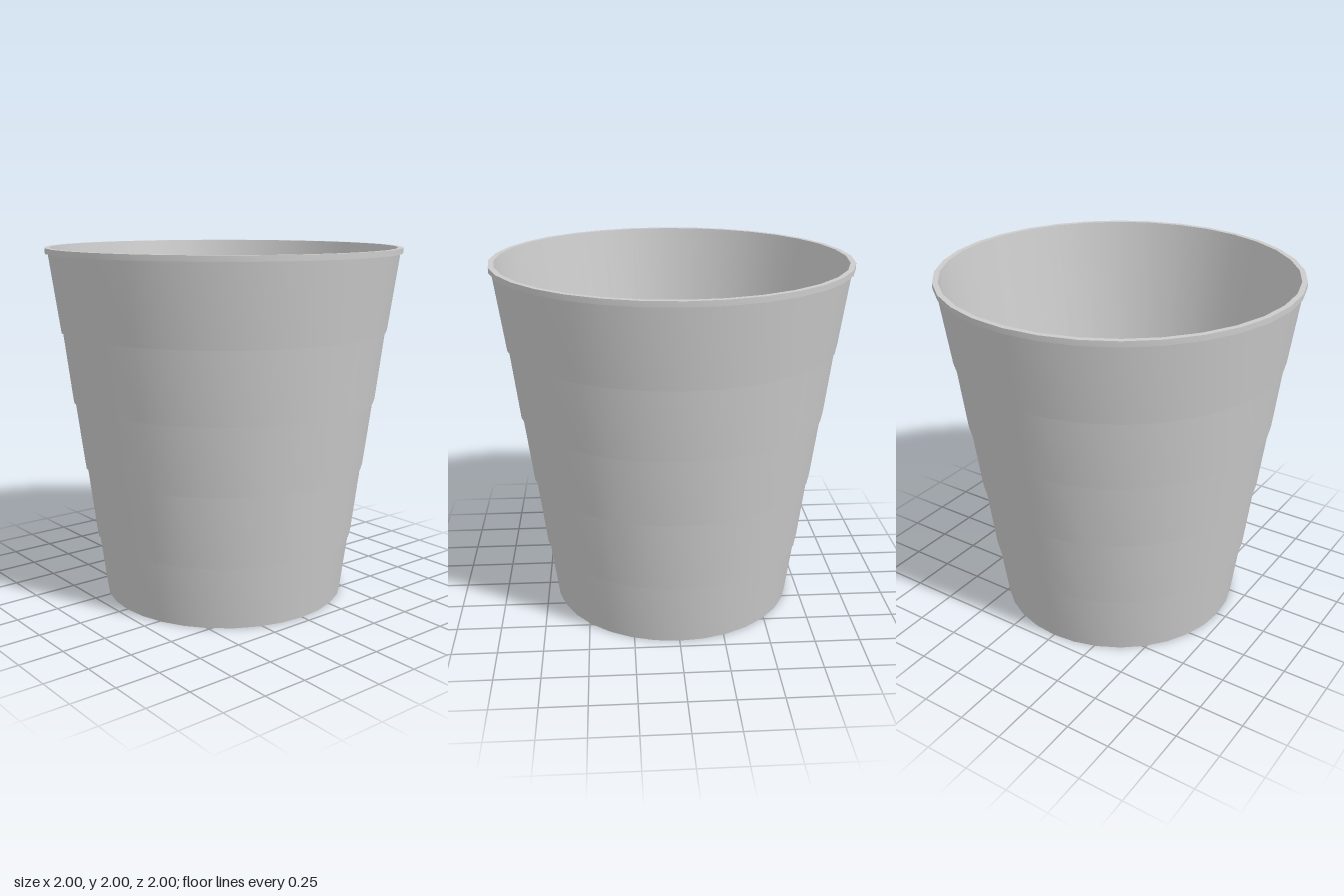
import * as THREE from 'three';
import { toCreasedNormals } from 'three/addons/utils/BufferGeometryUtils.js';

const SIDES = 32;

// Revolves a [radius, height] profile, keeping its corners sharp
function revolve(name, profile, material) {
  const points = profile.map(([r, y]) => new THREE.Vector2(r, y));
  const geometry = toCreasedNormals(new THREE.LatheGeometry(points, SIDES), 0.5);
  const mesh = new THREE.Mesh(geometry, material);
  mesh.name = name;
  return mesh;
}

export function createModel() {
  const group = new THREE.Group();
  group.name = 'cup';
  const material = new THREE.MeshStandardMaterial({ color: 0xcccccc });

  // Tapered outer wall: each band overhangs the one below by a small step
  const steps = [[0.742, 0.357], [0.801, 0.763], [0.859, 1.146], [0.916, 1.54]];
  const overhang = 0.009;
  const outer = [[0, 0], [0.695, 0]];
  for (const [r, y] of steps) outer.push([r, y], [r + overhang, y]);
  outer.push([0.985, 1.97]);
  group.add(revolve('outerWall', outer, material));

  // Flat lip around the mouth
  group.add(revolve('rim', [[0.985, 1.97], [1, 1.97], [1, 2], [0.97, 2]], material));

  // Smooth inside wall and floor
  group.add(revolve('innerWall', [[0.97, 2], [0.662, 0.03], [0, 0.03]], material));

  return group;
}
